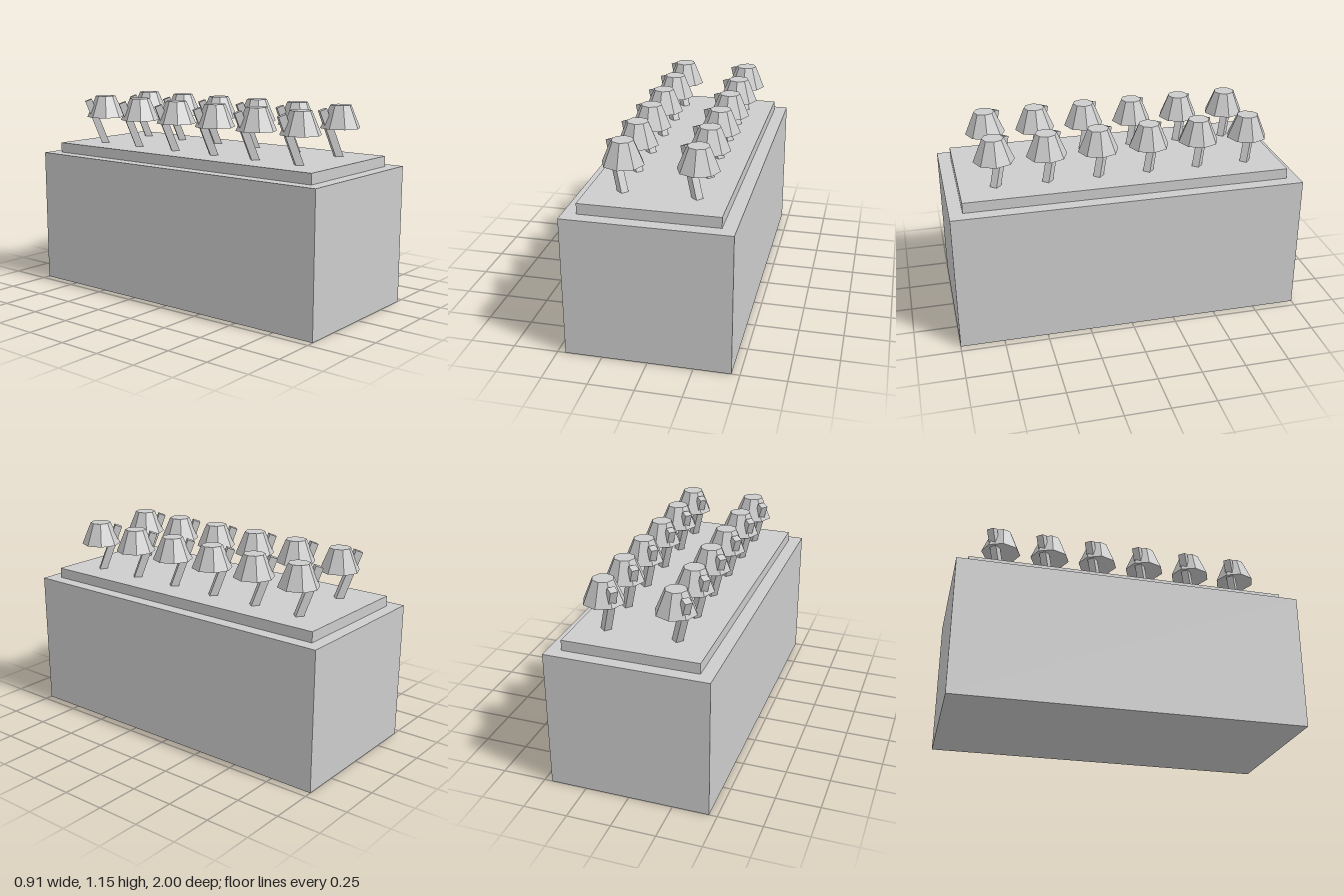
import * as THREE from 'three';

export function createModel() {
  const model = new THREE.Group();
  const grey = new THREE.MeshStandardMaterial({ color: 0xcccccc, flatShading: true });
  grey.name = 'light grey';

  function add(parent, name, geometry, x, y, z) {
    const mesh = new THREE.Mesh(geometry, grey);
    mesh.name = name;
    mesh.position.set(x, y, z);
    parent.add(mesh);
    return mesh;
  }

  // Block with a raised plate on top
  add(model, 'base', new THREE.BoxGeometry(0.91, 0.8, 2), 0, 0.4, 0);
  add(model, 'topPlate', new THREE.BoxGeometry(0.76, 0.06, 1.855), 0, 0.83, -0.002);

  // Eight-sided tapered cap, with a corner facing the front
  const capGeometry = new THREE.CylinderGeometry(0.06, 0.115, 0.13, 8);

  // Square stem leaning back and to the right, through the cap
  const foot = new THREE.Vector3(-0.007, 0.86, -0.002);
  const lean = new THREE.Vector3(-0.075, 0.265, -0.066);
  const length = lean.length();
  const stemGeometry = new THREE.BoxGeometry(0.043, length + 0.03, 0.043);
  stemGeometry.translate(0, (length - 0.03) / 2, 0);
  const yaw = Math.atan2(lean.x, lean.z);
  const tilt = Math.atan2(Math.hypot(lean.x, lean.z), lean.y);

  // Two columns of six knobs
  for (const x of [-0.183, 0.217]) {
    for (let i = 0; i < 6; i++) {
      const knob = new THREE.Group();
      knob.name = 'knob';
      knob.position.set(x, 0, -0.73 + i * 0.291);
      add(knob, 'cap', capGeometry, 0, 1.085, 0);
      const stem = add(knob, 'stem', stemGeometry, foot.x, foot.y, foot.z);
      stem.rotation.set(tilt, yaw, 0, 'YXZ');
      model.add(knob);
    }
  }
  return model;
}
